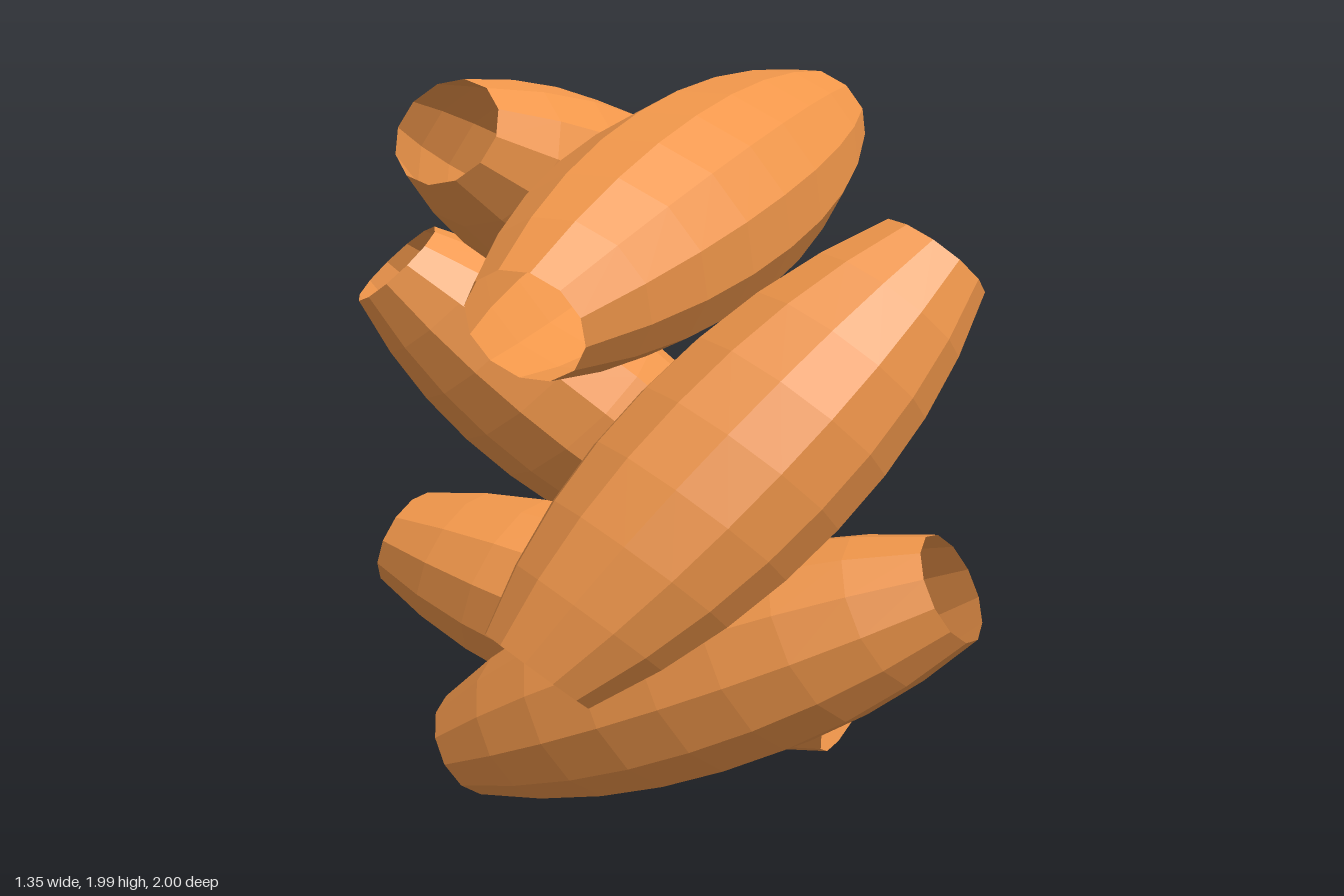
import * as THREE from 'three';

// Open-ended barrel tube along y, bulging in the middle
function barrelGeometry(halfLength, endRadius, midRadius, sides, rings) {
  const profile = [];
  for (let i = 0; i <= rings; i++) {
    const u = (i / rings) * 2 - 1;
    const r = midRadius - (midRadius - endRadius) * Math.pow(Math.abs(u), 2.1);
    profile.push(new THREE.Vector2(r, u * halfLength));
  }
  return new THREE.LatheGeometry(profile, sides);
}

export function createModel() {
  const group = new THREE.Group();
  group.name = 'barrelRing';
  const material = new THREE.MeshStandardMaterial({
    color: 0xf0964a, flatShading: true, side: THREE.DoubleSide,
  });

  // One tilted barrel, stretched sideways and moved out to the ring radius
  const barrel = barrelGeometry(0.675, 0.15, 0.287, 12, 8);
  barrel.rotateZ(-Math.PI / 4);
  barrel.scale(1.16, 1, 1);
  barrel.translate(0, 0, 0.713);

  // Six copies around the x axis, overlapping like a twisted ring
  for (let i = 0; i < 6; i++) {
    const mesh = new THREE.Mesh(barrel, material);
    mesh.name = `barrel${i + 1}`;
    mesh.rotation.x = -THREE.MathUtils.degToRad(8 + i * 60);
    mesh.position.y = 1;
    group.add(mesh);
  }
  return group;
}
